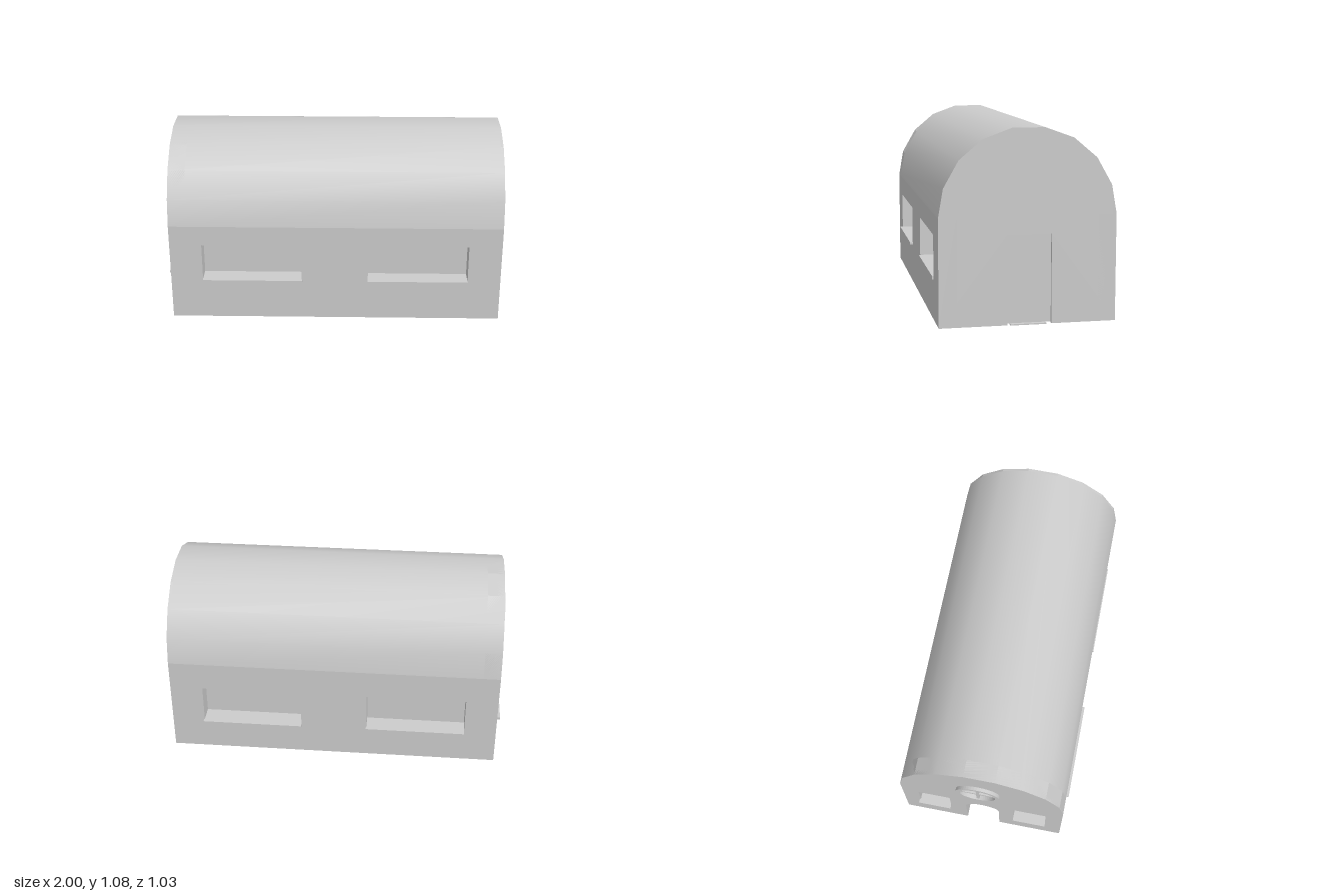
import * as THREE from 'three';

const X0 = -0.975, X1 = 0.99, W = 0.493, EAVE = 0.6, WALL = 0.1;

// Half of the barrel roof section as [z, y], from eave to crown
const arc = [[W, EAVE], [0.465, 0.76], [0.38, 0.91], [0.25, 1.02], [0.09, 1.078]];
const roofLine = [...arc, ...arc.map(([z, y]) => [-z, y]).reverse()];

const mat = new THREE.MeshStandardMaterial({ color: 0xcccccc });
const thinMat = new THREE.MeshStandardMaterial({ color: 0xcccccc, side: THREE.DoubleSide });

export function createModel() {
  const model = new THREE.Group();
  const add = (name, geo, material = mat) => {
    const mesh = new THREE.Mesh(geo, material);
    mesh.name = name;
    model.add(mesh);
    return mesh;
  };
  // Box given by its limits on each axis
  const box = (name, xa, xb, ya, yb, za, zb) =>
    add(name, new THREE.BoxGeometry(xb - xa, yb - ya, zb - za)
      .translate((xa + xb) / 2, (ya + yb) / 2, (za + zb) / 2));
  const polygon = (pts) => new THREE.Shape(pts.map(([a, b]) => new THREE.Vector2(a, b)));
  const rect = (a, b, c, d) => polygon([[a, c], [b, c], [b, d], [a, d]]);
  const extrude = (shape, depth) =>
    new THREE.ExtrudeGeometry(shape, { depth, bevelEnabled: false, curveSegments: 24 });
  // Extrude a (z, y) shape inwards from xOuter towards -x
  const extrudeX = (shape, depth, xFront) =>
    extrude(shape, depth).rotateY(-Math.PI / 2).translate(xFront, 0, 0);

  // Barrel roof: a plane bent over the section
  const roof = new THREE.PlaneGeometry(X1 - X0, 1, 1, roofLine.length - 1);
  const p = roof.attributes.position;
  for (let i = 0; i < p.count; i++) {
    const [z, y] = roofLine[roofLine.length - 1 - (i >> 1)];
    p.setXYZ(i, i % 2 ? X1 : X0, y, z);
  }
  roof.computeVertexNormals();
  add('roof', roof, thinMat);

  // Long walls with window openings and sills
  const windows = [[-0.785, -0.195], [0.2, 0.795]];
  const sides = [
    { name: 'front', s: 1, bottom: 0.25, sills: [[0.24, 0.255, 0.51], [0.23, 0.25, 0.502]] },
    { name: 'back', s: -1, bottom: 0.2, sills: [[0.185, 0.2, 0.51], [0.185, 0.2, 0.517]] },
  ];
  for (const { name, s, bottom, sills } of sides) {
    const wall = rect(X0, X1, 0, EAVE);
    windows.forEach(([a, b], i) => {
      wall.holes.push(rect(a, b, bottom, bottom + 0.23));
      const [ya, yb, out] = sills[i];
      const zs = [s * (W - WALL), s * out].sort((m, n) => m - n);
      box(name + 'Sill', a, b + 0.004, ya, yb, ...zs);
    });
    add(name + 'Wall', extrude(wall, WALL).translate(0, 0, s > 0 ? W - WALL : -W));
  }

  // Inner block that closes the window recesses
  const inner = W - WALL;
  box('innerBlock', -0.795, 0.8, 0.001, EAVE, -inner, inner);

  // End wall with a plain door
  const doorEnd = polygon([[-W, 0], [-0.13, 0], [-0.13, 0.5], [0.115, 0.5], [0.115, 0],
    [W, 0], ...roofLine]);
  add('doorEndWall', extrudeX(doorEnd, 0.015, X1));
  box('door', 0.955, 0.975, 0.007, 0.51, -0.14, 0.125);
  box('threshold', 0.965, 0.998, 0, 0.007, -0.1, 0.1);

  // End wall with an arched doorway, two small windows and a round window
  const archEnd = new THREE.Shape();
  archEnd.moveTo(-W, 0);
  archEnd.lineTo(-0.103, 0);
  archEnd.lineTo(-0.103, 0.32);
  archEnd.absarc(0, 0.32, 0.103, Math.PI, 0, true);
  archEnd.lineTo(0.103, 0);
  archEnd.lineTo(W, 0);
  roofLine.forEach(([z, y]) => archEnd.lineTo(z, y));
  const roundZ = -0.015, roundY = 0.76;
  archEnd.holes.push(new THREE.Path().absarc(roundZ, roundY, 0.108, 0, Math.PI * 2, true));
  const xIn = X0 + WALL;
  for (const z of [-0.3, 0.295]) {
    archEnd.holes.push(rect(z - 0.1, z + 0.1, 0.25, 0.45));
    box('smallWindowPane', xIn, xIn + 0.01, 0.23, 0.47, z - 0.12, z + 0.12);
    box('smallWindowSill', -1, xIn, 0.243, 0.256, z - 0.1, z + 0.1);
  }
  add('archEndWall', extrudeX(archEnd, WALL, xIn));
  box('archedDoor', xIn, xIn + 0.01, 0, 0.44, -0.12, 0.12);

  // Round window: ring, pane and crossed bars
  const ring = new THREE.Shape().absarc(roundZ, roundY, 0.13, 0, Math.PI * 2, false);
  ring.holes.push(new THREE.Path().absarc(roundZ, roundY, 0.105, 0, Math.PI * 2, true));
  add('roundWindowRing', extrudeX(ring, 0.035, X0 + 0.015));
  add('roundWindowPane', new THREE.CylinderGeometry(0.109, 0.109, 0.03, 32)
    .rotateZ(Math.PI / 2).translate(X0 + 0.045, roundY, roundZ));
  const bar = 0.009;
  box('roundWindowBar', X0 - 0.012, X0 + 0.03, roundY - bar, roundY + bar, roundZ - 0.107, roundZ + 0.107);
  box('roundWindowBar', X0 - 0.012, X0 + 0.03, roundY - 0.107, roundY + 0.107, roundZ - bar, roundZ + bar);

  // Underside, cut out beneath both doors
  const floor = polygon([[X0, -W], [X1, -W], [X1, -0.18], [0.8, -0.18], [0.8, 0.18], [X1, 0.18],
    [X1, W], [X0, W], [X0, 0.103], [-0.795, 0.103], [-0.795, -0.103], [X0, -0.103]]);
  add('floor', new THREE.ShapeGeometry(floor).rotateX(Math.PI / 2), thinMat);

  return model;
}
